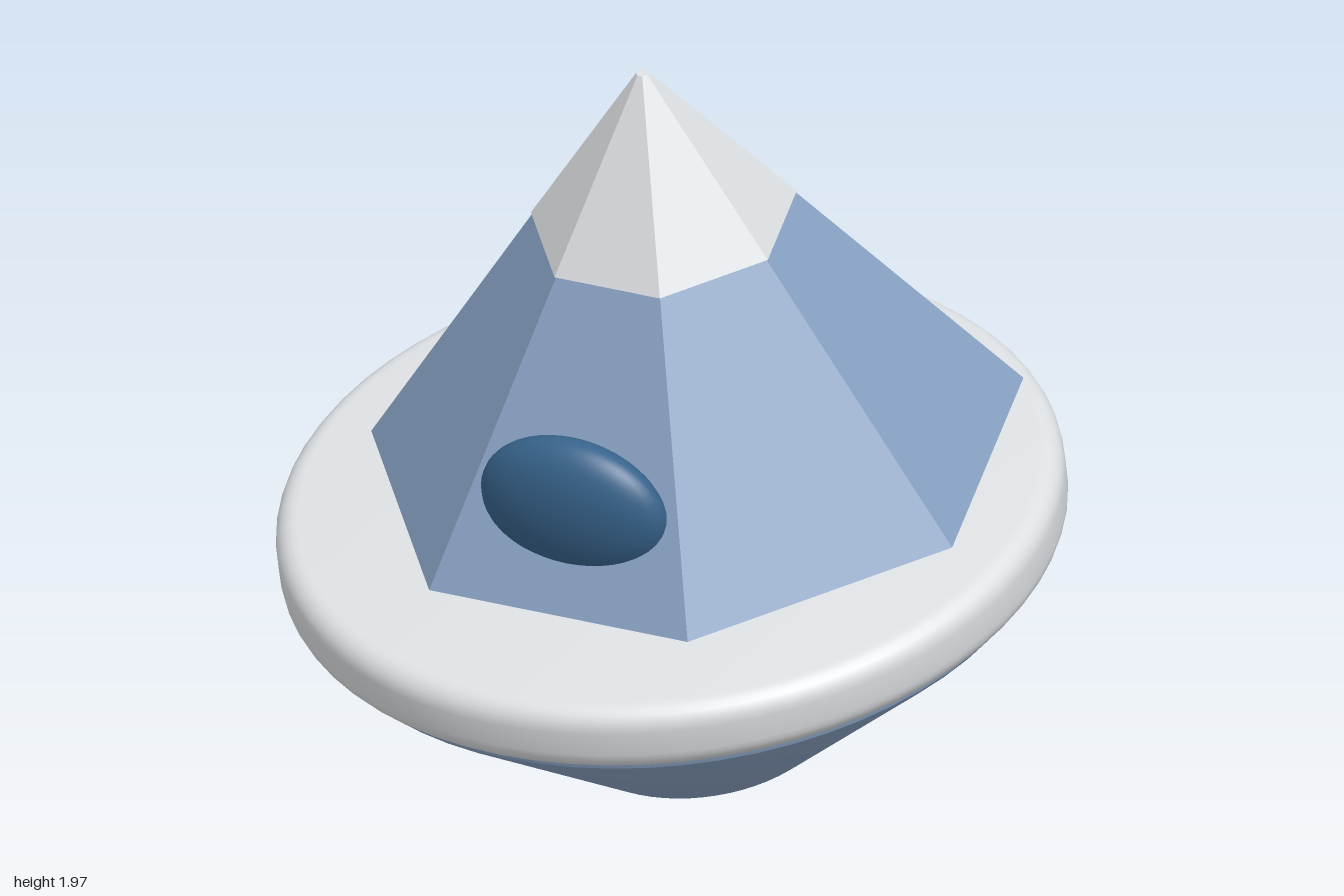
import * as THREE from 'three';
import { toCreasedNormals } from 'three/addons/utils/BufferGeometryUtils.js';

export function createModel() {
  const model = new THREE.Group();
  model.name = 'tiltedSpinningTop';

  const material = (name, color, flatShading = false) => {
    const m = new THREE.MeshStandardMaterial({ color, flatShading });
    m.name = name;
    return m;
  };
  const blue = material('slateBlue', 0x89a2c3);
  const white = material('paleGrey', 0xdcdfe2);
  const navy = material('darkBlue', 0x37638b);

  // Everything leans forward together
  const tilt = new THREE.Group();
  tilt.name = 'tiltedBody';
  tilt.rotation.x = 0.25;
  model.add(tilt);

  const add = (name, geometry, mat, y, z) => {
    const mesh = new THREE.Mesh(geometry, mat);
    mesh.name = name;
    mesh.position.set(0, y, z);
    tilt.add(mesh);
    return mesh;
  };
  const lathe = (points) => toCreasedNormals(
    new THREE.LatheGeometry(points.map(([r, y]) => new THREE.Vector2(r, y)), 64), 0.45);

  // Lower hull: inverted cone with softened foot and a thin rim
  add('lowerHull', lathe([
    [0, 0.034], [0.29, 0.034], [0.318, 0.038], [0.345, 0.053],
    [0.935, 0.562], [0.948, 0.578], [0.95, 0.59], [0.94, 0.6], [0, 0.6],
  ]), blue, 0, -0.169);

  // Rounded disc
  const bevel = 0.06, radius = 0.998, low = 0.594, high = 0.778;
  const profile = [[0, low]];
  for (const [cy, start] of [[low + bevel, -Math.PI / 2], [high - bevel, 0]]) {
    for (let i = 0; i <= 6; i++) {
      const a = start + (i / 6) * Math.PI / 2;
      profile.push([radius - bevel + bevel * Math.cos(a), cy + bevel * Math.sin(a)]);
    }
  }
  profile.push([0, high]);
  add('disc', lathe(profile), white, 0, -0.169);

  // Seven-sided cone and its cap, with a flat side to the front
  const frustum = (name, top, bottom, y0, y1, mat) => {
    const g = new THREE.CylinderGeometry(top, bottom, y1 - y0, 7).toNonIndexed();
    g.rotateY(Math.PI);
    g.computeVertexNormals();
    return add(name, g, mat, (y0 + y1) / 2, -0.325);
  };
  frustum('upperCone', 0.332, 0.846, 0.784, 1.5, blue);
  frustum('cap', 0.016, 0.345, 1.49, 1.942, white);

  // Single oval eye set into the front face
  const eye = new THREE.SphereGeometry(1, 40, 28);
  eye.scale(0.26, 0.2, 0.1);
  add('eye', eye, navy, 1.022, 0.286);

  return model;
}
